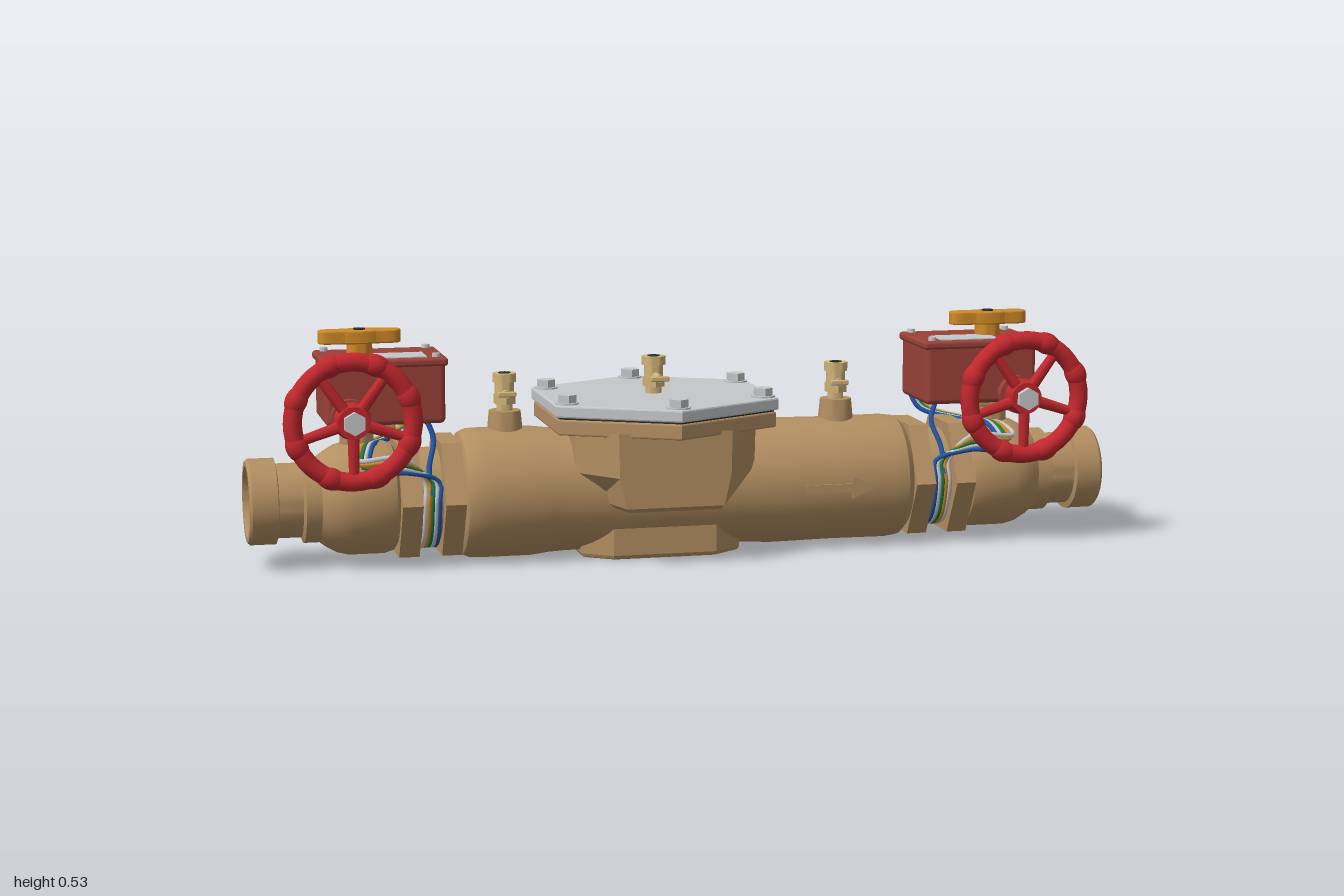
import * as THREE from 'three';
import { toCreasedNormals } from 'three/addons/utils/BufferGeometryUtils.js';
import { RoundedBoxGeometry } from 'three/addons/geometries/RoundedBoxGeometry.js';

const mat = (name, color) => {
  const m = new THREE.MeshStandardMaterial({ color });
  m.name = name;
  return m;
};

export function createModel() {
  const bronze = mat('bronze', 0xb38f62), brass = mat('brass', 0xd2b47a), steel = mat('steel', 0xc6c7c9);
  const red = mat('wheelRed', 0xc1272d), maroon = mat('boxMaroon', 0x9a4238), orange = mat('handleOrange', 0xd08a28);
  const dark = mat('dark', 0x2b2b2b), blue = mat('wireBlue', 0x2456a8), green = mat('wireGreen', 0x1f7a45);

  const model = new THREE.Group();
  model.name = 'backflowPreventer';
  const AXIS = 0.153; // height of the pipe centreline
  const CX = -0.065;  // centre of the bonnet

  const add = (parent, name, geo, material, x = 0, y = 0, z = 0) => {
    const m = new THREE.Mesh(geo, material);
    m.name = name;
    m.position.set(x, y, z);
    parent.add(m);
    return m;
  };
  const group = (name, x, y, z) => {
    const g = new THREE.Group();
    g.name = name;
    g.position.set(x, y, z);
    model.add(g);
    return g;
  };
  const cyl = (r1, r2, h, n = 24) => toCreasedNormals(new THREE.CylinderGeometry(r1, r2, h, n), 0.6);
  const pts = (list) => list.map(([a, b]) => new THREE.Vector2(a, b));
  // Turned part along x; s = -1 points it the other way
  const turned = (profile, s = 1) =>
    toCreasedNormals(new THREE.LatheGeometry(pts(profile), 56).rotateZ(-s * Math.PI / 2), 0.5);
  // Flat plate from a plan outline, y from 0 up to h
  const plate = (outline, h, bevel = 0.004) => new THREE.ExtrudeGeometry(
    outline instanceof THREE.Shape ? outline : new THREE.Shape(pts(outline)), {
      depth: h - 2 * bevel, bevelEnabled: bevel > 0, bevelSize: bevel, bevelThickness: bevel,
      bevelOffset: -bevel, bevelSegments: 2, curveSegments: 16,
    }).translate(0, 0, bevel).rotateX(-Math.PI / 2);
  const octagon = (hx, hz, fx, fz) =>
    [[hx, -fz], [hx, fz], [fx, hz], [-fx, hz], [-hx, fz], [-hx, -fz], [-fx, -hz], [fx, -hz]];
  // Skin through stacked outlines, listed from bottom to top
  const loft = (rings) => {
    const n = rings[0].outline.length, pos = [], idx = [];
    rings.forEach(({ y, outline }) => outline.forEach(([x, z]) => pos.push(x, y, -z)));
    for (let k = 0; k < rings.length - 1; k++) for (let i = 0; i < n; i++) {
      const a = k * n + i, b = k * n + (i + 1) % n;
      idx.push(a, b, b + n, a, b + n, a + n);
    }
    for (let i = 1; i < n - 1; i++) idx.push(0, i + 1, i); // bottom face
    const g = new THREE.BufferGeometry();
    g.setAttribute('position', new THREE.Float32BufferAttribute(pos, 3));
    g.setIndex(idx);
    return toCreasedNormals(g, 0.35);
  };

  // Main body
  add(model, 'mainBody', turned([
    [0, -0.53], [0.125, -0.525], [0.139, -0.518], [0.147, -0.5], [0.148, -0.47], [0.148, -0.36], [0.143, -0.32],
    [0.141, -0.28], [0.141, 0.15], [0.145, 0.2], [0.143, 0.35], [0.144, 0.48], [0.14, 0.51], [0.125, 0.525], [0, 0.53],
  ]), bronze, 0, AXIS, 0);
  add(model, 'foot', plate(octagon(0.185, 0.118, 0.12, 0.07), 0.12, 0.01), bronze, CX, 0.004, 0);

  // Bonnet seat, gasket and cover
  add(model, 'bonnetSeat', loft([
    { y: 0.13, outline: octagon(0.14, 0.212, 0.105, 0.08) },
    { y: 0.14, outline: octagon(0.152, 0.222, 0.112, 0.085) },
    { y: 0.21, outline: octagon(0.208, 0.222, 0.128, 0.12) },
    { y: 0.31, outline: octagon(0.21, 0.222, 0.13, 0.122) },
  ]), bronze, CX, 0, 0);
  const hex = (k) => [[0, -0.283], [0.257, -0.147], [0.257, 0.147], [0, 0.283], [-0.257, 0.147], [-0.257, -0.147]]
    .map(([x, z]) => [x * k, z * k]);
  add(model, 'bonnetFlange', plate(hex(0.98), 0.036), bronze, CX, 0.3, 0);
  add(model, 'gasket', plate(hex(0.965), 0.005, 0), dark, CX, 0.335, 0);
  add(model, 'cover', plate(hex(1), 0.028), steel, CX, 0.34, 0);
  for (const [x, z] of [[0, 0.247], [0, -0.247], [0.227, 0.123], [0.227, -0.123], [-0.227, 0.123], [-0.227, -0.123]]) {
    const b = group('coverBolt', CX + x, 0.367, z);
    add(b, 'washer', cyl(0.027, 0.027, 0.005), steel, 0, 0.002, 0);
    add(b, 'boltHead', cyl(0.022, 0.022, 0.018, 6), steel, 0, 0.013, 0);
  }

  // Test cocks
  const testCock = (x, y, z, stem) => {
    const g = group('testCock', x, y, z);
    add(g, 'lowerNeck', cyl(0.018, 0.018, 0.03), brass, 0, 0.014, 0);
    add(g, 'hexCollar', cyl(0.026, 0.026, 0.022, 6), brass, 0, 0.028, 0);
    add(g, 'barrel', cyl(0.022, 0.022, 0.035), brass, 0, 0.052, 0);
    add(g, 'topRing', cyl(0.027, 0.027, 0.02), brass, 0, 0.077, 0);
    add(g, 'outlet', cyl(0.014, 0.014, 0.002), dark, 0, 0.0875, 0);
    add(g, 'stem', cyl(0.009, 0.009, stem).rotateX(Math.PI / 2), brass, 0, 0.042, stem / 2);
    add(g, 'stemBar', new RoundedBoxGeometry(0.042, 0.012, 0.01, 2, 0.003), brass, 0, 0.042, stem);
  };
  for (const x of [-0.412, 0.37]) {
    add(model, 'cockBoss', cyl(0.036, 0.042, 0.06), bronze, x, 0.31, 0);
    testCock(x, 0.338, 0, 0.032);
  }
  testCock(CX, 0.366, 0, 0.066);
  add(model, 'rearCockArm', cyl(0.02, 0.024, 0.06).rotateX(Math.PI / 2), bronze, -0.76, 0.165, -0.12);
  testCock(-0.76, 0.162, -0.132, 0.03);

  // Raised flow arrow
  add(model, 'flowArrow', new THREE.ExtrudeGeometry(new THREE.Shape(pts([
    [0.26, -0.009], [0.37, -0.009], [0.37, -0.026], [0.43, 0], [0.37, 0.026], [0.37, 0.009], [0.26, 0.009],
  ])), { depth: 0.03, bevelEnabled: false }), bronze, 0, AXIS, 0.117);

  // Lever outline
  const lever = new THREE.Shape();
  lever.moveTo(-0.093, 0).bezierCurveTo(-0.093, 0.03, -0.06, 0.022, -0.035, 0.024)
    .quadraticCurveTo(0, 0.036, 0.035, 0.024).bezierCurveTo(0.06, 0.022, 0.093, 0.03, 0.093, 0)
    .bezierCurveTo(0.093, -0.03, 0.06, -0.022, 0.035, -0.024).quadraticCurveTo(0, -0.036, -0.035, -0.024)
    .bezierCurveTo(-0.06, -0.022, -0.093, -0.03, -0.093, 0);

  for (const s of [1, -1]) {
    // Shutoff valve with grooved pipe end
    add(model, 'shutoffValve', turned([
      [0.108, 0.52], [0.108, 0.665], [0.122, 0.675], [0.128, 0.695], [0.128, 0.775], [0.122, 0.8], [0.108, 0.825],
      [0.097, 0.84], [0.097, 0.875], [0.084, 0.88], [0.084, 0.934], [0.097, 0.937], [0.097, 0.994], [0.092, 1],
      [0.08, 1], [0.078, 0.992], [0.078, 0.78], [0, 0.78],
    ], s), bronze, 0, AXIS, 0);
    for (const [x, w] of [[0.548, 0.046], [0.645, 0.046]])
      add(model, 'unionNut', cyl(0.148, 0.148, w, 6).rotateZ(Math.PI / 2), bronze, s * x, AXIS, 0);
    add(model, 'valveNeck', cyl(0.038, 0.038, 0.07), bronze, s * 0.75, 0.285, 0);
    add(model, 'mountPlate', new RoundedBoxGeometry(0.14, 0.014, 0.13, 2, 0.004), bronze, s * 0.74, 0.323, 0);

    // Switch box with label and screws
    const box = group('switchBox', s * 0.695, 0, 0);
    add(box, 'boxBody', new RoundedBoxGeometry(0.268, 0.14, 0.19, 3, 0.012), maroon, 0, 0.399, 0);
    add(box, 'boxLid', new RoundedBoxGeometry(0.28, 0.019, 0.2, 3, 0.007), maroon, 0, 0.468, 0);
    add(box, 'label', new THREE.BoxGeometry(0.14, 0.003, 0.08), steel, s * -0.025, 0.478, 0.042);
    for (const x of [-0.116, 0.116]) for (const z of [-0.077, 0.077])
      add(box, 'lidScrew', cyl(0.009, 0.009, 0.01, 12), steel, x, 0.481, z);

    // Position lever
    const lev = group('lever', s * 0.74, 0, 0);
    add(lev, 'leverHub', cyl(0.029, 0.029, 0.03), orange, 0, 0.492, 0);
    add(lev, 'leverBar', plate(lever, 0.03, 0.003), orange, 0, 0.504, 0);
    add(lev, 'leverScrew', cyl(0.014, 0.014, 0.004, 6), dark, 0, 0.535, 0);

    // Handwheel
    const wheel = group('handwheel', s * 0.777, 0.35, 0.16);
    add(wheel, 'rim', new THREE.TorusGeometry(0.133, 0.021, 14, 56), red);
    for (let i = 0; i < 8; i++) {
      const a = (i + 0.5) * Math.PI / 4;
      const lobe = add(wheel, 'gripLobe', new THREE.SphereGeometry(0.025, 16, 12), red,
        Math.cos(a) * 0.134, Math.sin(a) * 0.134, 0);
      lobe.rotation.z = a;
      lobe.scale.y = 1.35;
    }
    for (let i = 0; i < 5; i++)
      add(wheel, 'spoke', cyl(0.011, 0.014, 0.13, 12).translate(0, 0.067, 0), red).rotation.z = Math.PI + i * Math.PI * 0.4;
    add(wheel, 'hub', cyl(0.036, 0.042, 0.036).rotateX(Math.PI / 2), red, 0, 0, 0);
    add(wheel, 'hubNut', cyl(0.026, 0.026, 0.018, 6).rotateX(Math.PI / 2), steel, 0, 0, 0.024);
    add(wheel, 'shaft', cyl(0.018, 0.018, 0.08).rotateX(Math.PI / 2), red, 0, 0, -0.035);
    add(wheel, 'shaftFlange', cyl(0.043, 0.043, 0.024).rotateX(Math.PI / 2), maroon, 0, 0, -0.055);

    // Wires from the box, over the valve and around the neck
    [blue, steel, green, orange, steel].forEach((material, i) => {
      const o = (i - 2) * 0.008;
      const path = new THREE.CatmullRomCurve3([
        [0.6 + o, 0.335, -0.115 - o / 2], [0.62 + o, 0.295, -0.107 - o], [0.69 + o, 0.275, -0.05],
        [0.74 + o, 0.275, 0.06], [0.75 + o, 0.24 + o, 0.118], [0.66, 0.243 + o, 0.128],
        [0.597 + o, 0.2, 0.108], [0.597 + o, 0.153, 0.116], [0.597 + o, 0.07, 0.085],
        [0.597 + o, 0.04, 0.02], [0.597 + o, 0.07, -0.085], [0.597 + o, 0.16, -0.116],
      ].map(([x, y, z]) => new THREE.Vector3(s * x, y, z)));
      add(model, 'wire', new THREE.TubeGeometry(path, 70, 0.0055, 8), material);
    });
    const lead = new THREE.CatmullRomCurve3([[0.6, 0.335, 0.05], [0.585, 0.29, 0.06], [0.6, 0.23, 0.09], [0.6, 0.17, 0.115]]
      .map(([x, y, z]) => new THREE.Vector3(s * x, y, z)));
    add(model, 'lead', new THREE.TubeGeometry(lead, 24, 0.006, 8), blue);
  }
  return model;
}
